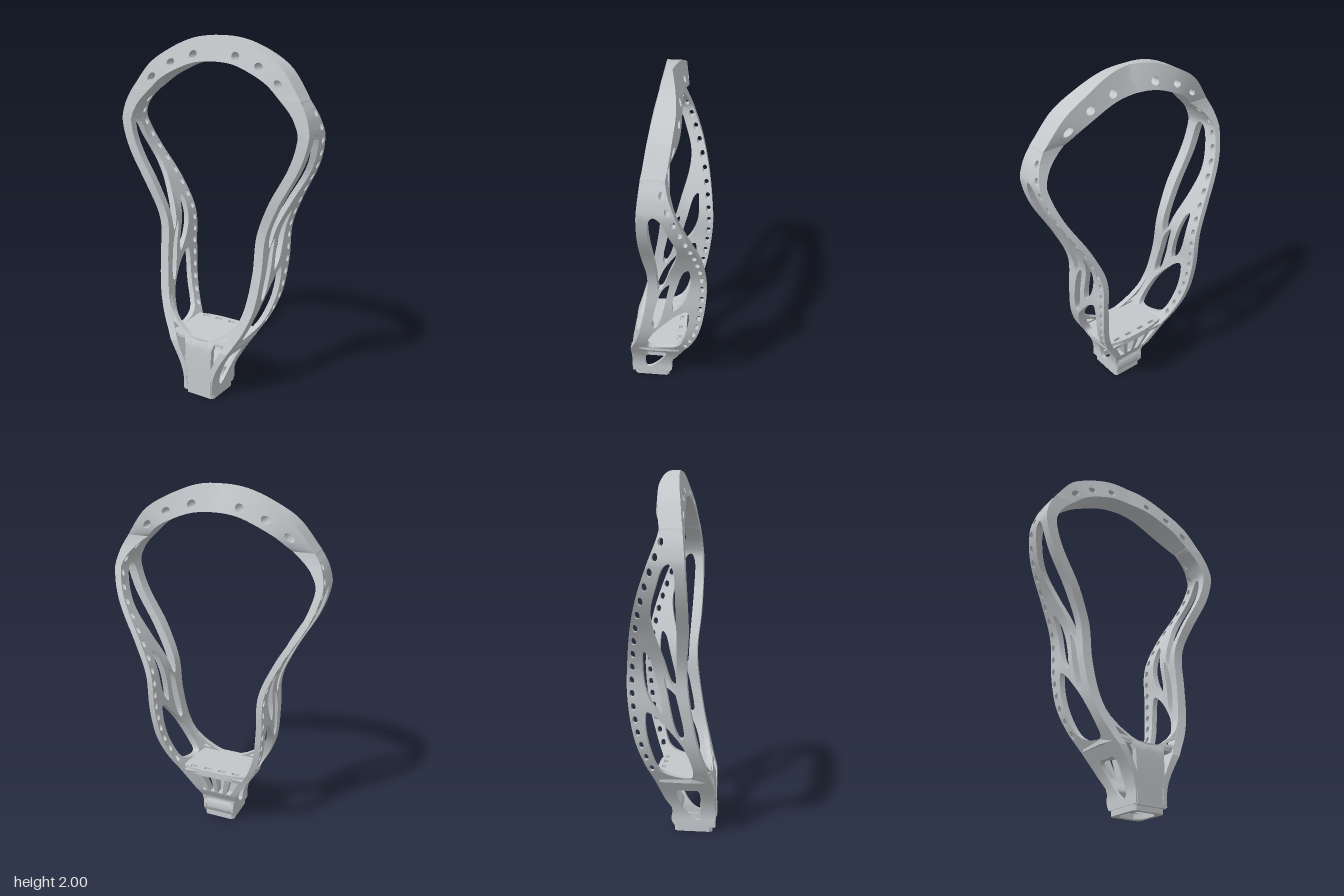
import * as THREE from 'three';

const greyPlastic = new THREE.MeshStandardMaterial({ color: 0xc4c8cb });
greyPlastic.name = 'greyPlastic';
const { lerp, clamp } = THREE.MathUtils;

// Smooth function through [input, value] pairs
function curve(p) {
  const slope = (i) => {
    const a = p[Math.max(i - 1, 0)], b = p[Math.min(i + 1, p.length - 1)];
    return (b[1] - a[1]) / (b[0] - a[0]);
  };
  return (v) => {
    let i = 0;
    while (i < p.length - 2 && v > p[i + 1][0]) i++;
    const h = p[i + 1][0] - p[i][0], s = clamp((v - p[i][0]) / h, 0, 1), s2 = s * s, s3 = s2 * s;
    return (2 * s3 - 3 * s2 + 1) * p[i][1] + (s3 - 2 * s2 + s) * h * slope(i)
      + (3 * s2 - 2 * s3) * p[i + 1][1] + (s3 - s2) * h * slope(i + 1);
  };
}

// Half width, front edge, back edge and wall thickness, all by height
const outerX = curve([[0.03, 0.095], [0.11, 0.097], [0.2, 0.127], [0.35, 0.215], [0.44, 0.265], [0.57, 0.31],
  [0.76, 0.333], [0.97, 0.345], [1.15, 0.42], [1.365, 0.54], [1.52, 0.587], [1.6, 0.575], [1.65, 0.555], [1.7, 0.525]]);
const frontZ = curve([[0, 0.228], [0.3, 0.222], [0.35, 0.205], [0.45, 0.175], [0.6, 0.137], [0.85, 0.097],
  [1, 0.09], [1.2, 0.106], [1.52, 0.105], [1.7, 0.088]]);
const backZ = curve([[0.03, 0], [0.06, -0.018], [0.1, -0.018], [0.13, -0.01], [0.2, -0.05], [0.345, -0.1],
  [0.44, -0.14], [0.6, -0.19], [0.78, -0.217], [0.94, -0.222], [1.18, -0.19], [1.365, -0.14],
  [1.54, -0.075], [1.65, -0.035], [1.7, -0.025]]);
const wallWidth = curve([[0.03, 0.022], [0.2, 0.035], [0.4, 0.055], [0.8, 0.053], [1, 0.055], [1.2, 0.06],
  [1.52, 0.062], [1.6, 0.077], [1.65, 0.095], [1.7, 0.118]]);

// Extrudes a shape by 1, divides its long edges and moves every point by map(a, b, t)
function bentPlate(name, shape, map, maxEdge = 0.05) {
  const flat = new THREE.ExtrudeGeometry(shape, { depth: 1, bevelEnabled: false }).toNonIndexed();
  const src = flat.attributes.position, srcNormal = flat.attributes.normal;
  const pos = [], nor = [], at = (p) => new THREE.Vector3(...map(p.x, p.y, p.z));
  const e = 1e-3;
  const frame = (p) => ['x', 'y', 'z'].map((k) => {
    const lo = p.clone(), hi = p.clone();
    lo[k] -= e; hi[k] += e;
    return at(hi).sub(at(lo));
  });
  const emit = (tri, n) => {
    const [fa, fb, ft] = frame(tri[0].clone().add(tri[1]).add(tri[2]).divideScalar(3));
    const flip = fa.dot(fb.clone().cross(ft)) < 0;
    for (const p of flip ? [tri[0], tri[2], tri[1]] : tri) {
      const [a, b, t] = frame(p);
      const normal = b.clone().cross(t).multiplyScalar(n.x)
        .addScaledVector(t.clone().cross(a), n.y).addScaledVector(a.clone().cross(b), n.z).normalize();
      if (flip) normal.negate();
      pos.push(...at(p)); nor.push(...normal);
    }
  };
  const split = (tri, n, depth) => {
    const m = tri.map(at), len = [0, 1, 2].map((i) => m[i].distanceTo(m[(i + 1) % 3]));
    const i = len.indexOf(Math.max(...len));
    if (len[i] <= maxEdge || depth > 14) return emit(tri, n);
    const a = tri[i], b = tri[(i + 1) % 3], c = tri[(i + 2) % 3], mid = a.clone().lerp(b, 0.5);
    split([a, mid, c], n, depth + 1);
    split([mid, b, c], n, depth + 1);
  };
  for (let i = 0; i < src.count; i += 3) {
    const tri = [0, 1, 2].map((k) => new THREE.Vector3().fromBufferAttribute(src, i + k));
    split(tri, new THREE.Vector3().fromBufferAttribute(srcNormal, i), 0);
  }
  const geo = new THREE.BufferGeometry();
  geo.setAttribute('position', new THREE.Float32BufferAttribute(pos, 3));
  geo.setAttribute('normal', new THREE.Float32BufferAttribute(nor, 3));
  const mesh = new THREE.Mesh(geo, greyPlastic);
  mesh.name = name;
  return mesh;
}

const polygon = (pts) => new THREE.Shape(pts.map(([x, y]) => new THREE.Vector2(x, y)));
const mirrored = (pts) => pts.map(([x, y]) => [-x, y]);
const bothSides = (pts) => [...pts, ...mirrored(pts).reverse()];
// Rounded closed opening through a few points
function opening(pts) {
  const c = new THREE.CatmullRomCurve3(pts.map(([x, y]) => new THREE.Vector3(x, y, 0)), true);
  return polygon(c.getPoints(44).slice(0, -1).map((p) => [p.x, p.y]));
}
function oval(x, y, rx, ry) {
  const pts = [];
  for (let i = 0; i < 14; i++) pts.push([x + rx * Math.cos(i * Math.PI / 7), y + ry * Math.sin(i * Math.PI / 7)]);
  return polygon(pts);
}

// Side wall drawn as depth against height
function wallShape() {
  const edge = [], n = 60;
  for (let i = 0; i <= n; i++) { const y = lerp(0.03, 1.7, i / n); edge.push([frontZ(y), y]); }
  for (let i = n; i >= 0; i--) { const y = lerp(0.03, 1.7, i / n); edge.push([backZ(y), y]); }
  const shape = polygon(edge);
  shape.holes.push(
    opening([[0.03, 1.535], [0.05, 1.5], [0.053, 1.34], [0.042, 1.05], [0.03, 0.9], [0.012, 0.912],
      [-0.03, 1.05], [-0.07, 1.2], [-0.075, 1.3], [-0.04, 1.42], [0, 1.52]]),
    opening([[-0.127, 1.08], [-0.137, 1], [-0.127, 0.89], [-0.09, 0.8], [-0.044, 0.752], [-0.04, 0.8],
      [-0.07, 0.94], [-0.105, 1.06]]),
    opening([[-0.025, 0.94], [-0.01, 0.84], [0.03, 0.65], [0.058, 0.603], [0.073, 0.615], [0.053, 0.76], [0.016, 0.89]]),
    opening([[-0.12, 0.75], [-0.13, 0.7], [-0.11, 0.545], [-0.063, 0.41], [0, 0.372], [0.108, 0.362],
      [0.116, 0.41], [0.074, 0.545], [-0.01, 0.66], [-0.085, 0.735]]),
    opening([[0.138, 0.262], [0.08, 0.266], [0.018, 0.262], [0.03, 0.175], [0.095, 0.085], [0.138, 0.07], [0.145, 0.16]]));
  // Row of lacing holes along the back edge
  for (let i = 0; i < 18; i++) {
    const y = lerp(1.64, 0.42, i / 17);
    shape.holes.push(oval(backZ(y) + 0.025, y, 0.014, 0.02));
  }
  return shape;
}

// Scoop: a strip along the top arch, u along and v across
function makeScoop() {
  const arch = (pts) => new THREE.SplineCurve([...mirrored(pts).reverse(), ...pts.slice(1)]
    .map(([x, y]) => new THREE.Vector2(x, y)));
  const outer = arch([[0, 2], [0.14, 1.985], [0.28, 1.93], [0.415, 1.843], [0.525, 1.7]]);
  const inner = arch([[0, 1.868], [0.12, 1.858], [0.23, 1.82], [0.33, 1.768], [0.407, 1.7]]);
  const frontInner = curve([[0, 0.06], [1, 0.088]]), frontOuter = curve([[0, 0.025], [0.5, 0.045], [1, 0.088]]);
  const backInner = curve([[0, -0.06], [0.5, -0.073], [0.75, -0.064], [1, -0.025]]);
  const backOuter = curve([[0, -0.008], [0.5, -0.052], [0.75, -0.047], [1, -0.025]]);
  const shape = polygon([[-1, 0], [1, 0], [1, 1], [-1, 1]]);
  for (const side of [-1, 1]) {
    for (const [u, v] of [[0.26, 0.33], [0.55, 0.4], [0.82, 0.42]]) shape.holes.push(oval(side * u, v, 0.048, 0.17));
  }
  return bentPlate('scoop', shape, (u, v, t) => {
    const k = clamp((u + 1) / 2, 0, 1), p = inner.getPoint(k).lerp(outer.getPoint(k), v), a = Math.abs(u);
    return [p.x, p.y, lerp(lerp(backInner(a), backOuter(a), v), lerp(frontInner(a), frontOuter(a), v), t)];
  }, 0.04);
}

// Throat front with the curved lip and its side openings
function makeThroatFront() {
  const side = [];
  for (let i = 0; i <= 16; i++) { const y = lerp(0.025, 0.54, i / 16); side.push([outerX(y) - 0.006, y]); }
  side.push([0.25, 0.54], [0.232, 0.5], [0.208, 0.46], [0.16, 0.41], [0.1, 0.368], [0.048, 0.343], [0, 0.335]);
  const shape = polygon([...side, ...mirrored(side).reverse().slice(1)]);
  const lower = [[0.085, 0.19], [0.098, 0.215], [0.19, 0.345], [0.185, 0.352], [0.1, 0.345], [0.088, 0.3]];
  const upper = [[0.12, 0.364], [0.19, 0.37], [0.22, 0.393], [0.205, 0.41], [0.165, 0.396]];
  for (const pts of [lower, upper]) shape.holes.push(polygon(pts), polygon(mirrored(pts)));
  return bentPlate('throatFront', shape, (x, y, t) => [x, y, frontZ(y) - 0.002 - 0.03 * (1 - t)]);
}

// Throat back: solid below, ribs and slots under the shelf
function makeThroatBack() {
  const side = [];
  for (let i = 0; i <= 12; i++) { const y = lerp(0.03, 0.345, i / 12); side.push([outerX(y) - 0.006, y]); }
  const shape = polygon(bothSides(side));
  for (const c of [-0.075, -0.025, 0.025, 0.075]) {
    shape.holes.push(polygon([[c - 0.014, 0.2], [c + 0.014, 0.2], [1.7 * c + 0.026, 0.32], [1.7 * c - 0.026, 0.32]]));
  }
  return bentPlate('throatBack', shape, (x, y, t) => [x, y, backZ(y) + 0.003 + 0.045 * t]);
}

// Shelf between the walls, with lacing slots near its back edge
function makeShelf() {
  const shape = polygon(bothSides([[0.13, 0.2], [0.2, 0.19], [0.217, 0.1], [0.21, -0.07], [0.12, -0.093], [0.05, -0.1]]));
  for (const x of [-0.13, -0.045, 0.045, 0.13]) {
    shape.holes.push(polygon([[x - 0.022, -0.078], [x + 0.022, -0.078], [x + 0.022, -0.055], [x - 0.022, -0.055]]));
  }
  return bentPlate('shelf', shape, (x, z, t) => [x, 0.328 + 0.028 * t + 0.05 * (0.1 - z) * t, z]);
}

// Hollow collar at the foot
function makeCollar() {
  const shape = polygon(bothSides([[0.08, 0], [0.092, 0.015], [0.092, 0.195], [0.08, 0.212]]));
  shape.holes.push(polygon(bothSides([[0.04, 0.025], [0.072, 0.06], [0.072, 0.155], [0.04, 0.188]])));
  return bentPlate('collar', shape, (x, z, t) => [x, 0.045 * t, z]);
}

export function createModel() {
  const model = new THREE.Group();
  model.name = 'stickHead';
  const shape = wallShape();
  for (const side of [1, -1]) {
    model.add(bentPlate(side > 0 ? 'leftWall' : 'rightWall', shape, (z, y, t) => {
      const thin = 0.4 * clamp((frontZ(y) - z) / 0.15, 0, 1) * clamp((1.7 - y) / 0.15, 0, 1);
      return [side * (outerX(y) - wallWidth(y) * (1 - thin) * (1 - t)), y, z];
    }));
    const rib = new THREE.Mesh(new THREE.BoxGeometry(0.012, 0.09, 0.016), greyPlastic);
    rib.name = 'throatRib';
    rib.position.set(side * 0.08, 0.075, 0.222);
    model.add(rib);
  }
  model.add(makeScoop(), makeThroatFront(), makeThroatBack(), makeShelf(), makeCollar());
  return model;
}
